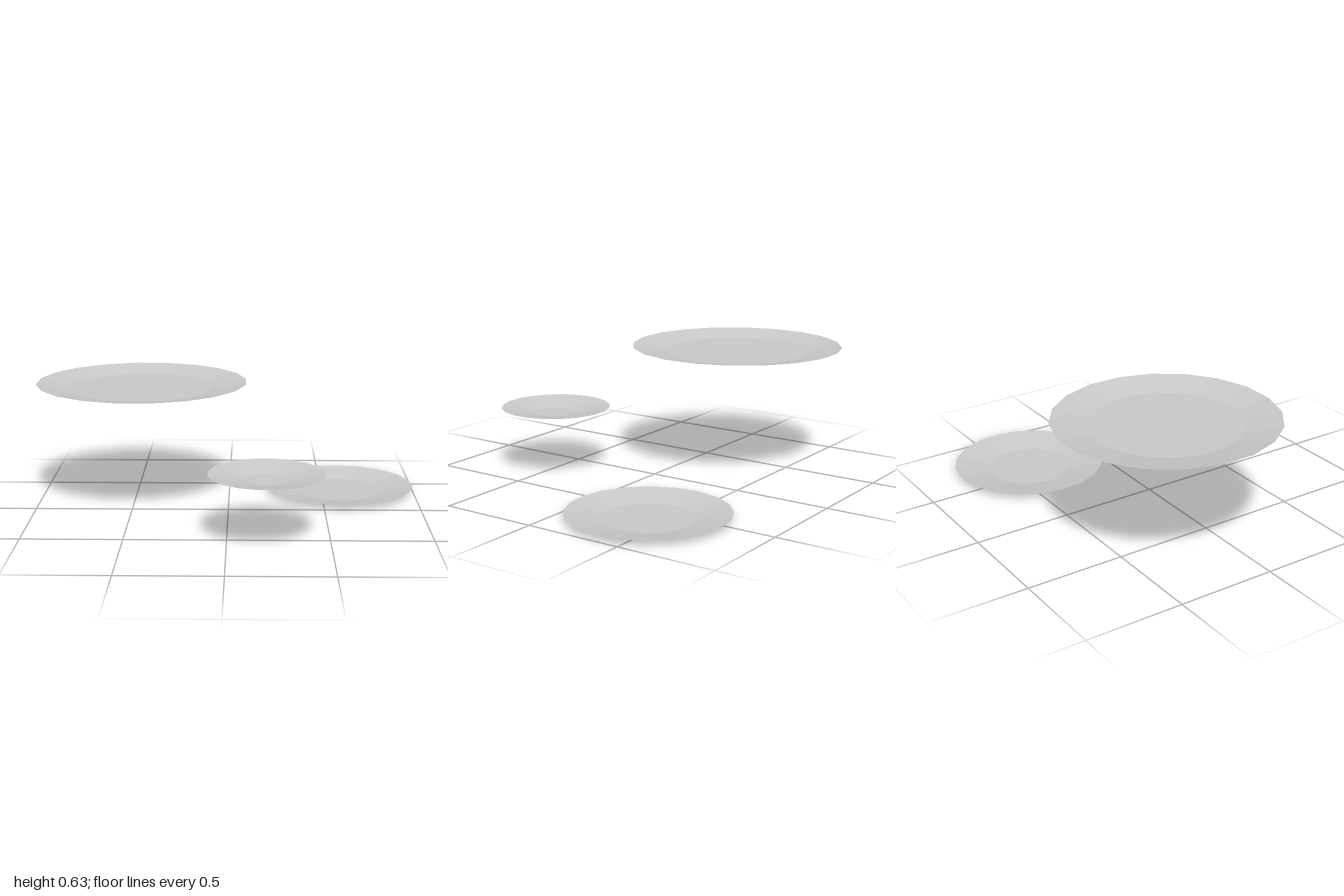
import * as THREE from 'three';

const SIDES = 20;
const HEIGHT = 0.03;

// Thin open dish: flat round floor with a sloping rim, low-poly facets
function makeDish(name, { x, y, z, floor, rim, turn }) {
  const profile = [[0, 0], [floor, 0], [rim, HEIGHT]].map(([r, h]) => new THREE.Vector2(r, h));
  const geometry = new THREE.LatheGeometry(profile, SIDES, THREE.MathUtils.degToRad(turn));
  const material = new THREE.MeshStandardMaterial({
    color: 0xcccccc, flatShading: true, side: THREE.DoubleSide,
  });
  const dish = new THREE.Mesh(geometry, material);
  dish.name = name;
  dish.position.set(x, y, z);
  return dish;
}

export function createModel() {
  const model = new THREE.Group();
  model.name = 'floatingDishes';
  model.add(
    makeDish('largeDish', { x: -0.456, y: 0.604, z: -0.211, floor: 0.372, rim: 0.551, turn: 9 }),
    makeDish('mediumDish', { x: 0.601, y: 0, z: -0.384, floor: 0.216, rim: 0.398, turn: -3 }),
    makeDish('smallDish', { x: 0.189, y: 0.302, z: 0.497, floor: 0.101, rim: 0.283, turn: 9 }),
  );
  return model;
}
